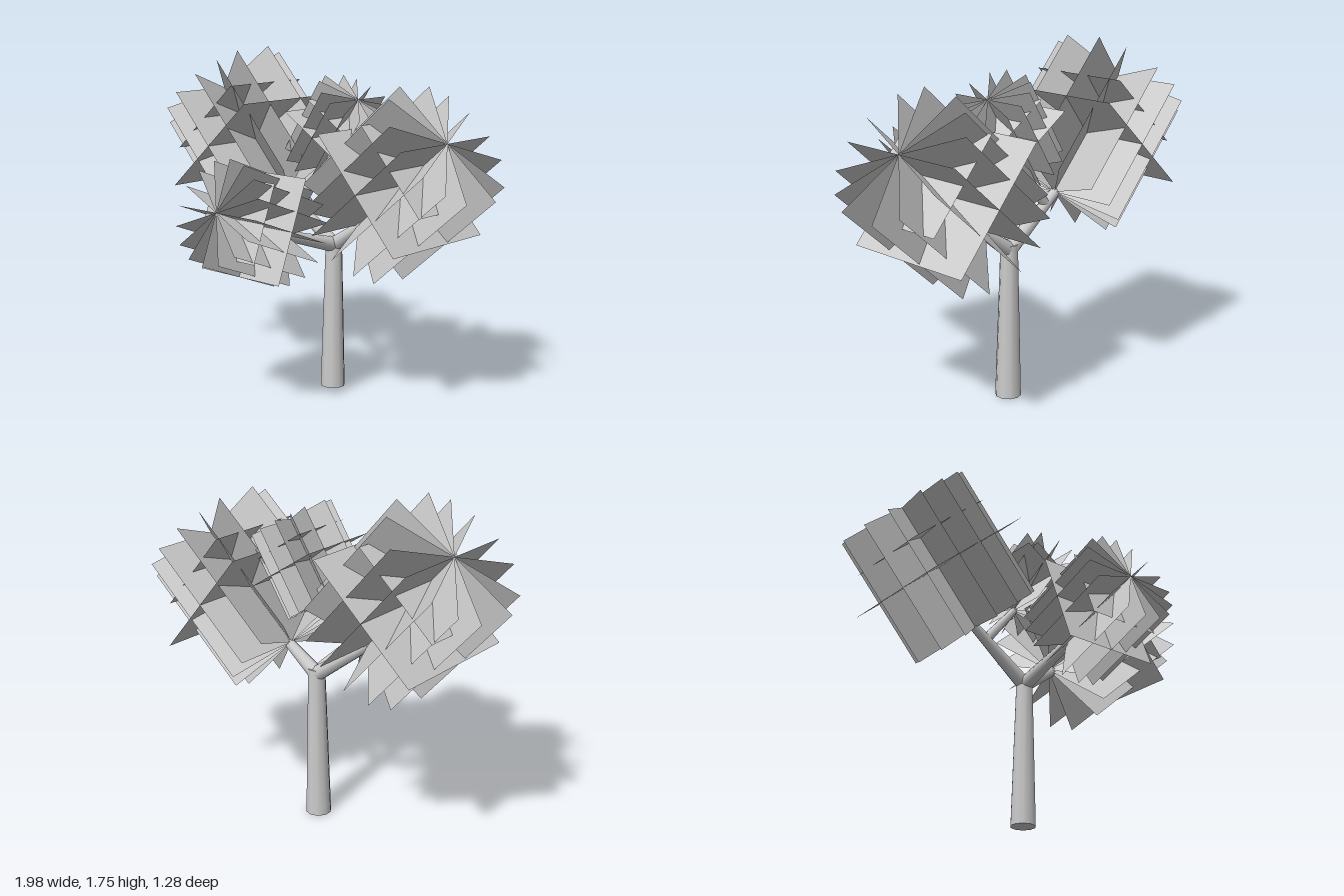
import * as THREE from 'three';

const V = (x, y, z) => new THREE.Vector3(x, y, z);
const Z = -0.285; // depth of the trunk and of the side clusters
const bark = new THREE.MeshStandardMaterial({ color: 0xcccccc });
const leaf = new THREE.MeshStandardMaterial({ color: 0xcccccc, side: THREE.DoubleSide });

// Tapered limb between two points
function limb(name, a, b, rA, rB) {
  const dir = b.clone().sub(a);
  const mesh = new THREE.Mesh(new THREE.CylinderGeometry(rB, rA, dir.length(), 10), bark);
  mesh.name = name;
  mesh.position.copy(a).lerp(b, 0.5);
  mesh.quaternion.setFromUnitVectors(V(0, 1, 0), dir.normalize());
  return mesh;
}

// Foliage: square cards fanned about the branch axis, plus two cards across it
function cluster(name, center, axis, side, size, angles) {
  const group = new THREE.Group();
  group.name = name;
  const add = (geometry, part) => {
    const card = new THREE.Mesh(geometry, leaf);
    card.name = part;
    group.add(card);
  };
  for (const deg of angles) {
    add(new THREE.PlaneGeometry(size, size).rotateX(Math.PI / 2)
      .rotateZ(THREE.MathUtils.degToRad(deg)), 'leafCard');
  }
  add(new THREE.PlaneGeometry(size, size), 'crossCard');
  add(new THREE.PlaneGeometry(size * 0.75, size * 0.75).translate(0, 0, size * 0.25), 'smallCrossCard');

  // Local z runs along the branch
  const a = axis.clone().normalize();
  const up = a.clone().cross(side);
  group.quaternion.setFromRotationMatrix(new THREE.Matrix4().makeBasis(side, up, a));
  group.position.copy(center);
  return group;
}

export function createModel() {
  const tree = new THREE.Group();
  tree.name = 'tree';

  // Trunk and branches
  const top = V(0.06, 0.76, Z);
  const fork = V(-0.2, 0.935, Z);
  tree.add(
    limb('trunk', V(0.06, 0, Z), V(0.06, 0.79, Z), 0.065, 0.043),
    limb('rightBranch', top, V(-0.27, 0.995, Z), 0.04, 0.025),
    limb('leftBranch', top, V(0.25, 0.89, Z), 0.04, 0.025),
    limb('frontBranch', top, V(0.05, 0.865, 0.08), 0.04, 0.025),
    limb('upperBranch', fork, V(-0.01, 1.17, Z), 0.027, 0.018)
  );

  // Foliage clusters
  const uneven = [0, 25, 47, 67, 103, 127, 157];
  const even = Array.from({ length: 8 }, (_, i) => i * 22.5);
  tree.add(
    cluster('rightFoliage', V(-0.5, 1.255, Z), V(-0.67, 0.74, 0), V(0, 0, 1), 0.71, uneven),
    cluster('leftFoliage', V(0.49, 1.12, Z), V(0.755, 0.657, 0), V(0, 0, -1), 0.71, uneven),
    cluster('upperFoliage', V(0.095, 1.34, Z), V(0.54, 0.84, 0), V(0, 0, -1), 0.43, uneven),
    cluster('frontFoliage', V(0.05, 0.955, 0.305), V(0, 0.36, 0.93), V(1, 0, 0), 0.52, even)
  );
  return tree;
}
